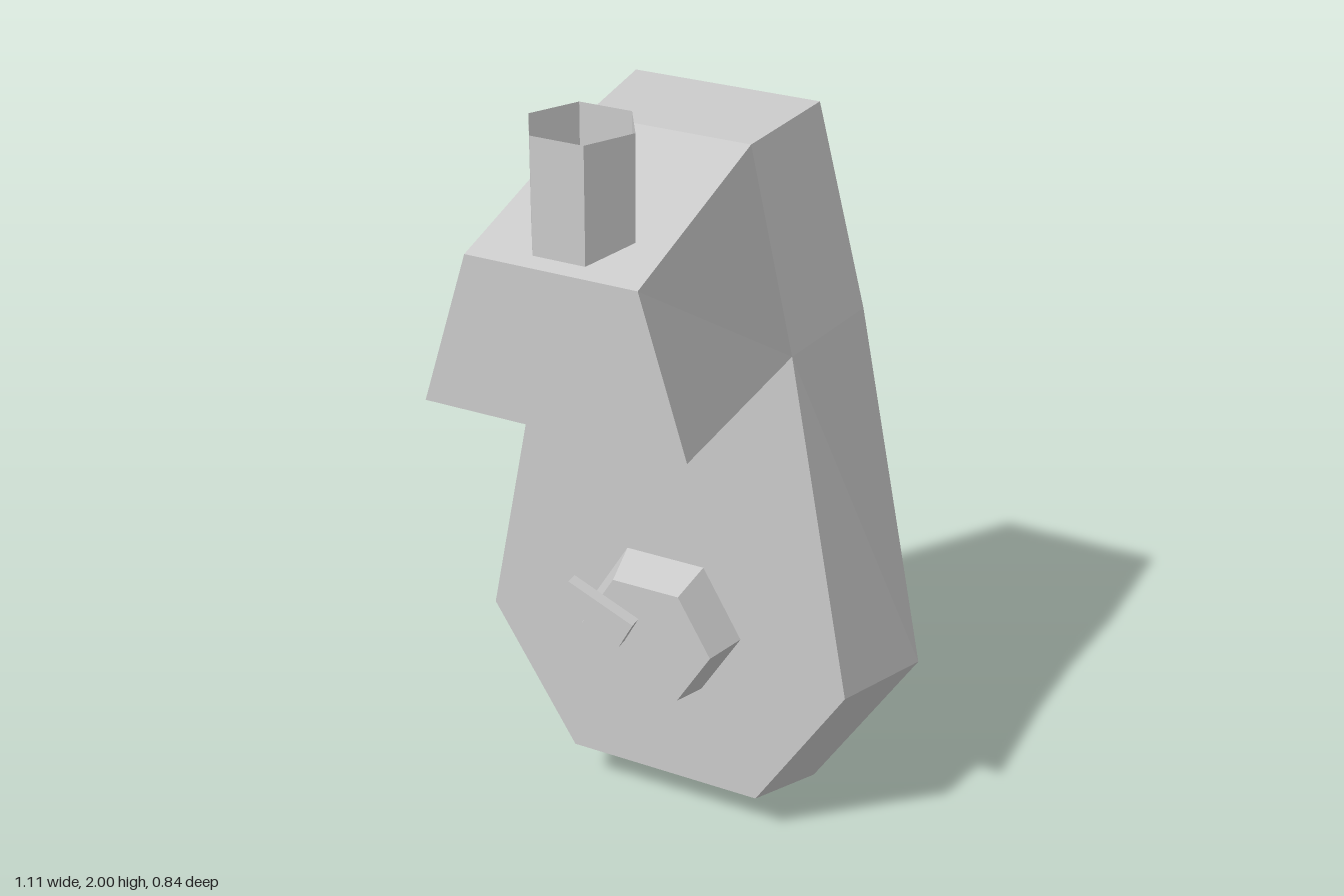
import * as THREE from 'three';

// Closed solid between a back and a front outline (counter-clockwise seen from +z)
function loft(back, zBack, front, zFront, capBack = true) {
  const n = back.length, pos = [];
  const b = i => [...back[i % n], zBack];
  const f = i => [...front[i % n], zFront];
  for (let i = 0; i < n; i++) {
    pos.push(...b(i), ...b(i + 1), ...f(i + 1), ...b(i), ...f(i + 1), ...f(i));
    if (i > 0 && i < n - 1) {
      pos.push(...f(0), ...f(i), ...f(i + 1));
      if (capBack) pos.push(...b(0), ...b(i + 1), ...b(i));
    }
  }
  const g = new THREE.BufferGeometry();
  g.setAttribute('position', new THREE.Float32BufferAttribute(pos, 3));
  g.computeVertexNormals();
  return g;
}

// Mirror a right-hand outline (bottom to top) into a full loop
const mirror = half => [...half, ...half.slice().reverse().map(([x, y]) => [-x, y])];

const hexagon = (r, cy) => Array.from({ length: 6 }, (_, i) =>
  [r * Math.cos(i * Math.PI / 3), cy + r * Math.sin(i * Math.PI / 3)]);

export function createModel() {
  const group = new THREE.Group();
  const grey = new THREE.MeshStandardMaterial({ color: 0xcccccc, flatShading: true });
  grey.name = 'light grey';
  grey.side = THREE.DoubleSide;
  const add = (name, geometry) => {
    const mesh = new THREE.Mesh(geometry, grey);
    mesh.name = name;
    group.add(mesh);
    return mesh;
  };

  // Tall tapered body with bevelled sides
  add('body', loft(
    mirror([[0.29, 0], [0.553, 0.44], [0.358, 1.37], [0.229, 1.85]]), -0.42,
    mirror([[0.255, 0.12], [0.478, 0.495], [0.31, 1.37], [0.198, 1.85]]), -0.117));

  // Overhanging head with a sloping top
  add('head', loft(
    mirror([[0.31, 1.37], [0.198, 1.85]]), -0.117,
    mirror([[0.31, 1.37], [0.198, 1.733]]), 0.42, false));

  // Six-sided dial and its small lever
  add('dial', loft(hexagon(0.203, 0.583), -0.117, hexagon(0.172, 0.583), -0.01, false));
  const lever = [[-0.214, 0.651], [-0.056, 0.566], [-0.018, 0.64], [-0.19, 0.716]];
  add('lever', loft(lever, -0.01, lever, 0.022));

  // Open six-sided spout on the head
  const spout = add('spout', new THREE.CylinderGeometry(0.121, 0.121, 0.27, 6, 1, true, Math.PI / 2));
  spout.position.set(0, 1.865, 0.276);

  return group;
}
